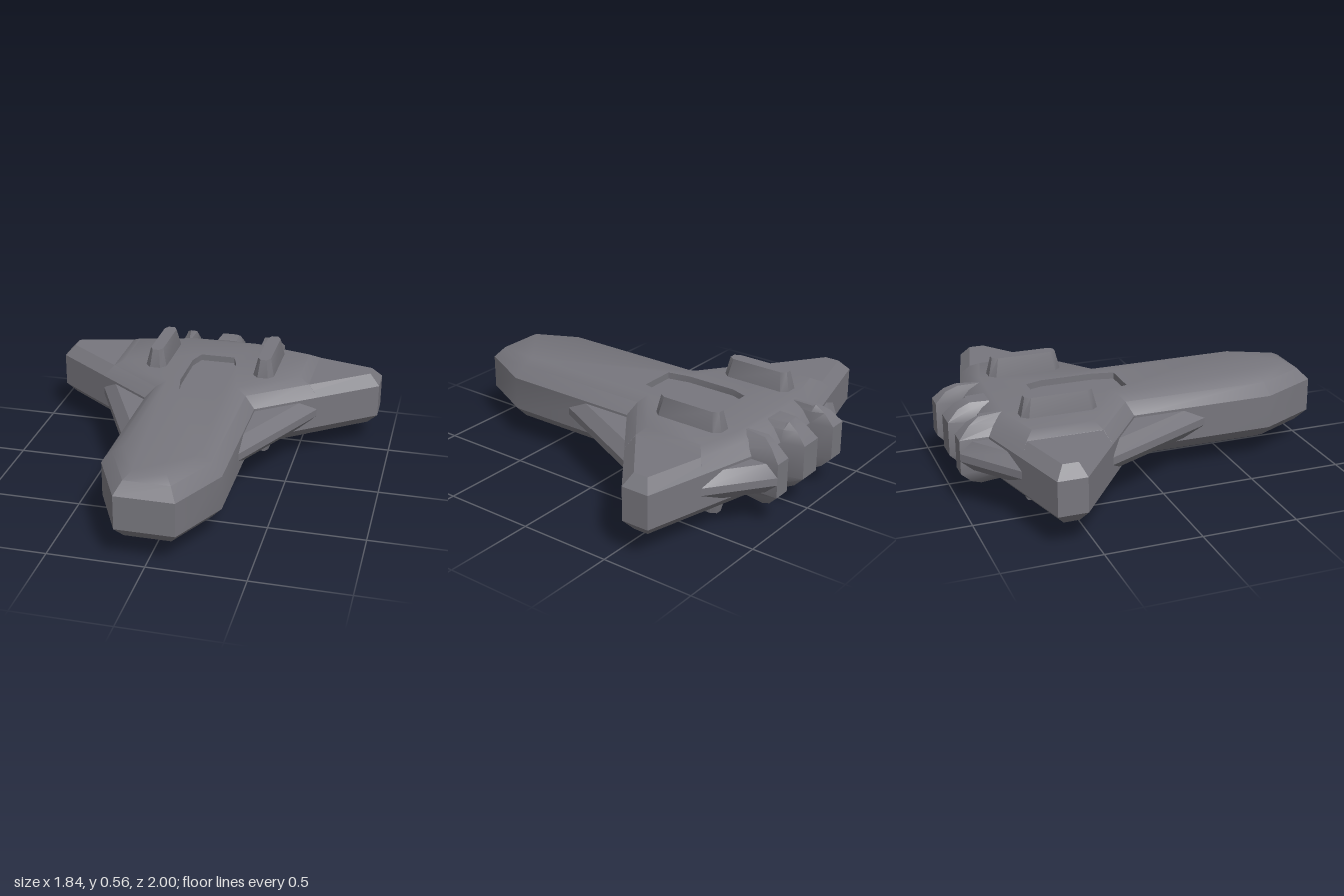
import * as THREE from 'three';
import { toCreasedNormals } from 'three/addons/utils/BufferGeometryUtils.js';

// Outlines are [x, z] lists running front -> +x -> back -> -x.
const MID = 0.28; // height of the horizontal symmetry plane

const mirrorX = pts => pts.map(([x, z]) => [-x, z]).reverse();
const symmetric = half => [...half, ...mirrorX(half)];

// Moves every edge of an outline inwards by d, with mitred corners
function inset(pts, d) {
  const n = pts.length;
  const normal = (a, b) => {
    const dx = b[0] - a[0], dz = b[1] - a[1], l = Math.hypot(dx, dz);
    return [dz / l, -dx / l];
  };
  return pts.map((p, i) => {
    const u = normal(pts[(i + n - 1) % n], p), v = normal(p, pts[(i + 1) % n]);
    const k = d / (1 + u[0] * v[0] + u[1] * v[1]);
    return [p[0] + (u[0] + v[0]) * k, p[1] + (u[1] + v[1]) * k];
  });
}

// Side walls between two rings
function addWall(out, a, ya, b, yb) {
  a.forEach((p, i) => {
    const j = (i + 1) % a.length;
    const A = [p[0], ya, p[1]], B = [a[j][0], ya, a[j][1]];
    const C = [b[j][0], yb, b[j][1]], D = [b[i][0], yb, b[i][1]];
    out.push(...A, ...B, ...C, ...A, ...C, ...D);
  });
}

// Flat cap, facing up or down, with an optional hole
function addCap(out, pts, y, up, hole) {
  const v2 = list => list.map(([x, z]) => new THREE.Vector2(x, -z));
  const all = hole ? [...pts, ...hole] : pts;
  for (const f of THREE.ShapeUtils.triangulateShape(v2(pts), hole ? [v2(hole)] : [])) {
    for (const i of up ? f : [f[0], f[2], f[1]]) out.push(all[i][0], y, all[i][1]);
  }
}

// Solid mirrored about MID. layers: [outline, half height] from the waist outwards.
// recess: optional sunk panel { pts, depth } in both caps.
function solid(layers, recess) {
  const out = [];
  const rings = [
    ...layers.map(([p, h]) => [p, MID - h]).reverse(),
    ...layers.map(([p, h]) => [p, MID + h]),
  ];
  for (let i = 0; i + 1 < rings.length; i++) addWall(out, ...rings[i], ...rings[i + 1]);
  const [top, h] = layers[layers.length - 1];
  for (const s of [1, -1]) {
    addCap(out, top, MID + s * h, s > 0, recess?.pts);
    if (recess) {
      const rim = MID + s * h, floor = rim - s * recess.depth;
      const p = [...recess.pts].reverse();
      addWall(out, p, Math.min(rim, floor), p, Math.max(rim, floor));
      addCap(out, recess.pts, floor, s > 0);
    }
  }
  const g = new THREE.BufferGeometry();
  g.setAttribute('position', new THREE.Float32BufferAttribute(out, 3));
  return toCreasedNormals(g, 0.55);
}

// Layers whose outlines are successive insets of one outline
const bevelled = (pts, profile) => profile.map(([d, h]) => [d ? inset(pts, d) : pts, h]);

export function createModel() {
  const group = new THREE.Group();
  const material = new THREE.MeshStandardMaterial({ color: 0x77767d });
  const add = (name, layers, recess) => {
    const mesh = new THREE.Mesh(solid(layers, recess), material);
    mesh.name = name;
    group.add(mesh);
  };
  const addPair = (name, layers) => {
    add('left' + name, layers);
    add('right' + name, layers.map(([p, h]) => [mirrorX(p), h]));
  };

  // Hull with rounded bevel and a sunk panel above and below
  const hull = symmetric([
    [0.152, 1], [0.305, 0.69], [0.305, -0.085], [0.61, -0.313],
    [0.61, -0.773], [0.305, -0.85], [0.2, -0.88],
  ]);
  const panel = symmetric([[0.1, -0.05], [0.125, -0.17], [0.125, -0.45], [0.095, -0.54]]);
  add('hull', bevelled(hull, [[0, 0.09], [0.055, 0.15], [0.11, 0.18]]), { pts: panel, depth: 0.035 });

  // Wings, slightly thinner than the hull
  const wing = [[0.25, -0.044], [0.92, -0.545], [0.92, -0.695], [0.25, -0.864]];
  addPair('Wing', bevelled(wing, [[0, 0.09], [0.055, 0.149]]));

  // Thin fins ahead of and behind the wings
  const finProfile = [[0, 0.02], [0.052, 0.077]];
  addPair('FrontFin', bevelled([[0.2, 0.523], [0.61, -0.31], [0.2, -0.31]], finProfile));
  addPair('RearFin', bevelled([[0.22, -0.7], [0.55, -0.7], [0.61, -0.773], [0.305, -1], [0.22, -0.995]], finProfile));

  // Engine blocks at the tail, narrowing towards top and bottom
  const steps = [[0, 0.09], [0.5, 0.149], [1, 0.179]];
  add('centreEngine', steps.map(([t, h]) => [symmetric([
    [0.1 - 0.045 * t, -0.78], [0.092 - 0.045 * t, -0.88], [0.063 - 0.035 * t, -1 + 0.115 * t],
  ]), h]));
  addPair('Engine', steps.map(([t, h]) => [[
    [0.19 + 0.02 * t, -0.72], [0.305 - 0.09 * t, -0.72], [0.305 - 0.06 * t, -1 + 0.115 * t],
    [0.212 + 0.015 * t, -1 + 0.115 * t], [0.185 + 0.02 * t, -0.88],
  ], h]));

  // Pods running through the hull, showing above and below
  const pod = (w, l) => [
    [-w * 0.5, l], [w * 0.5, l], [w, l * 0.83], [w, -l * 0.83],
    [w * 0.5, -l], [-w * 0.5, -l], [-w, -l * 0.83], [-w, l * 0.83],
  ].map(([x, z]) => [x + 0.305, z - 0.495]);
  addPair('Pod', [[pod(0.06, 0.2), 0.17], [pod(0.035, 0.175), 0.278]]);

  return group;
}
